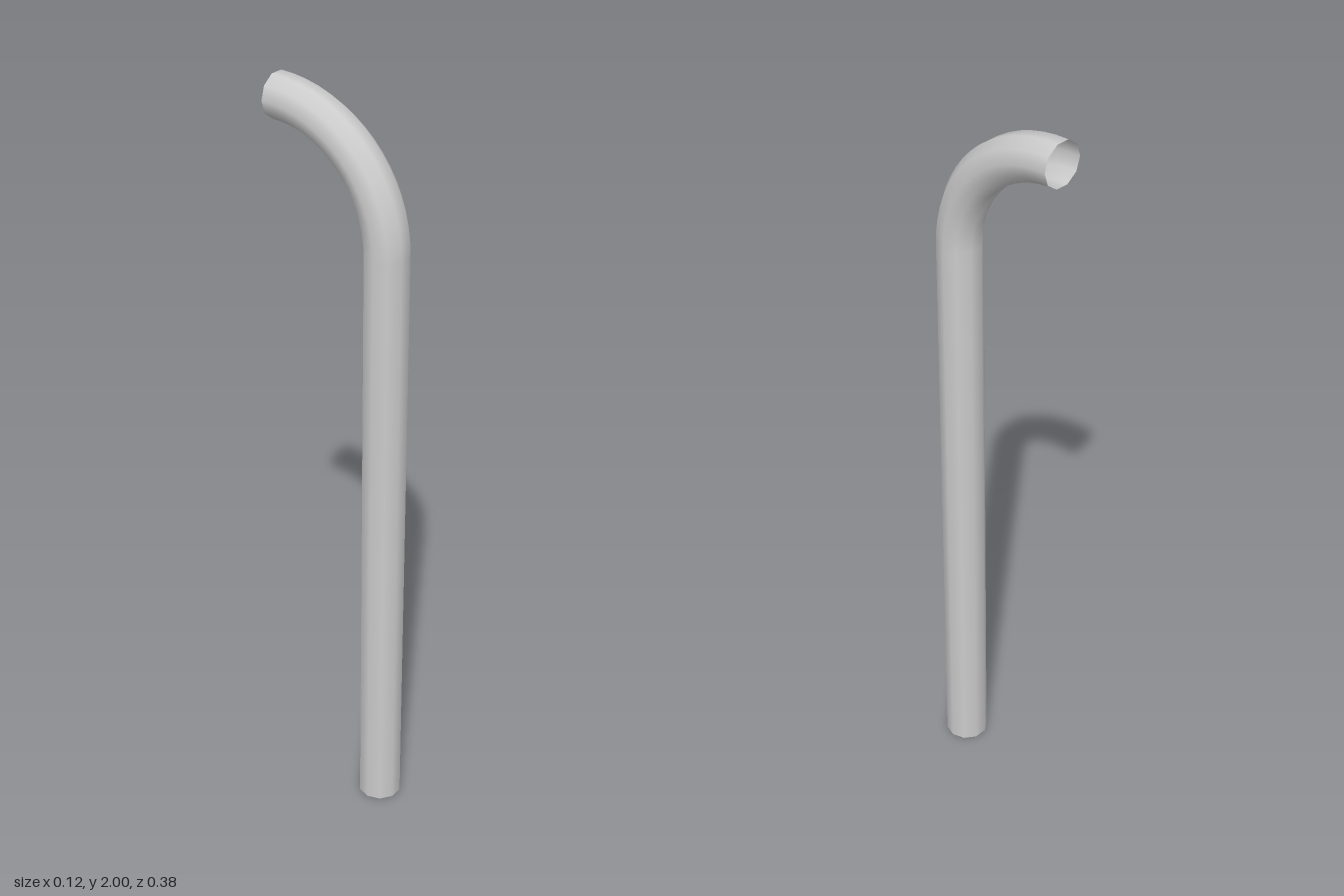
import * as THREE from 'three';

export function createModel() {
  const group = new THREE.Group();
  group.name = 'bentPipe';

  const radius = 0.058, sides = 10;
  const bendSegments = 16, bendRadius = 0.324;
  const bendY = 1.621, bendZ = -0.19; // centre of the quarter bend

  // Open cylinder: row 0 is the base, row 1 the start of the bend, the rest follow the arc
  const rows = bendSegments + 1;
  const geometry = new THREE.CylinderGeometry(radius, radius, rows, sides, rows, true);
  geometry.rotateY(Math.PI / sides);
  geometry.translate(0, rows / 2, 0);

  const pos = geometry.attributes.position, normal = geometry.attributes.normal;
  for (let i = 0; i < pos.count; i++) {
    const row = Math.round(pos.getY(i));
    const angle = Math.max(0, row - 1) / bendSegments * Math.PI / 2;
    const reach = bendRadius + pos.getZ(i);
    const nz = normal.getZ(i);
    const y = row === 0 ? 0 : bendY + reach * Math.sin(angle);
    pos.setXYZ(i, pos.getX(i), y, bendZ + reach * Math.cos(angle));
    normal.setXYZ(i, normal.getX(i), nz * Math.sin(angle), nz * Math.cos(angle));
  }

  const material = new THREE.MeshStandardMaterial({ color: 0xcccccc, side: THREE.DoubleSide });
  const pipe = new THREE.Mesh(geometry, material);
  pipe.name = 'pipe';
  group.add(pipe);
  return group;
}
